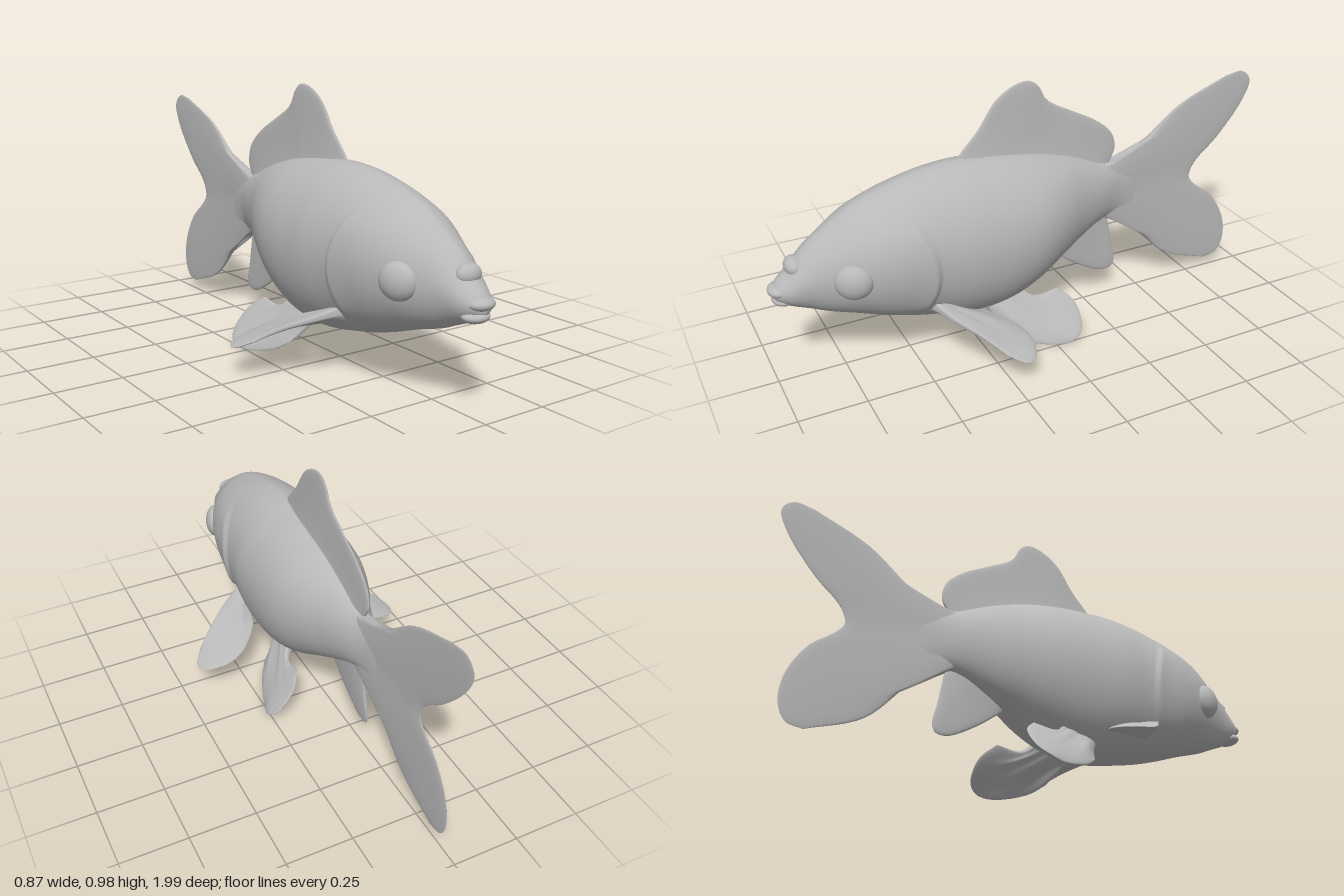
import * as THREE from 'three';

const skin = new THREE.MeshStandardMaterial({ color: 0xb8b8b8 });
skin.name = 'grey skin';
const V = (x, y, z) => new THREE.Vector3(x, y, z);

// Closed rings swept along v; point(a, v) takes an angle a and a position v in 0..1
function loft(point, around, along) {
  const pos = [], idx = [];
  const centre = V(0, 0, 0), pts = [];
  for (let j = 0; j <= along; j++)
    for (let i = 0; i < around; i++) {
      const p = point((i / around) * Math.PI * 2, j / along);
      pts.push(p);
      centre.add(p);
      pos.push(p.x, p.y, p.z);
    }
  centre.divideScalar(pts.length);
  for (let j = 0; j < along; j++)
    for (let i = 0; i < around; i++) {
      const k = (i + 1) % around;
      const a = j * around + i, b = j * around + k, c = a + around, d = b + around;
      idx.push(a, b, d, a, d, c);
    }
  // Turn the faces outward whichever way the rings run
  let volume = 0;
  for (let t = 0; t < idx.length; t += 3) {
    const [a, b, c] = [0, 1, 2].map((n) => pts[idx[t + n]].clone().sub(centre));
    volume += a.dot(b.cross(c));
  }
  if (volume < 0) idx.reverse();
  const g = new THREE.BufferGeometry();
  g.setAttribute('position', new THREE.Float32BufferAttribute(pos, 3));
  g.setIndex(idx);
  g.computeVertexNormals();
  return g;
}

// Fin spanned between rays (root to tip), with rounded edges and tapering thickness
function fin(rays, normal, root, tip) {
  const curves = rays.map((r) => new THREE.CatmullRomCurve3(r));
  const n = normal.clone().normalize();
  const rows = 28;
  const rowCache = [];
  return loft((a, t) => {
    const v = Math.sin((t * Math.PI) / 2);
    const key = Math.round(t * rows);
    rowCache[key] ??= new THREE.CatmullRomCurve3(curves.map((c) => c.getPoint(v)));
    const s = Math.sin(a);
    const thick = (tip + (root - tip) * (1 - v) ** 2) * Math.sqrt(Math.max(0, 1 - v ** 8));
    const p = rowCache[key].getPoint(Math.min(1, Math.max(0, (1 - Math.cos(a)) / 2)));
    return p.addScaledVector(n, Math.sign(s) * Math.abs(s) ** 0.45 * thick);
  }, 112, rows);
}

// Body stations: z, top, bottom, half width
const stations = [
  [0.985, 0.39, 0.36, 0], [0.97, 0.415, 0.345, 0.04], [0.93, 0.455, 0.32, 0.065],
  [0.86, 0.53, 0.29, 0.09], [0.8, 0.575, 0.265, 0.115], [0.7, 0.64, 0.235, 0.16],
  [0.6, 0.68, 0.2, 0.187], [0.5, 0.71, 0.17, 0.197], [0.4, 0.73, 0.148, 0.205],
  [0.3, 0.738, 0.13, 0.215], [0.2, 0.735, 0.125, 0.215], [0.1, 0.727, 0.145, 0.21],
  [0, 0.712, 0.19, 0.193], [-0.1, 0.688, 0.25, 0.155], [-0.2, 0.655, 0.305, 0.105],
  [-0.3, 0.612, 0.355, 0.065], [-0.38, 0.595, 0.365, 0.036], [-0.46, 0.6, 0.33, 0.02],
  [-0.56, 0.58, 0.4, 0],
];

function bodyGeometry() {
  const spline = (f) => new THREE.CatmullRomCurve3(stations.map(f), false, 'catmullrom', 0.5);
  const edge = spline(([z, top, bottom]) => V(z, top, bottom));
  const width = spline(([z, , , w]) => V(z, w, 0));
  const step = THREE.MathUtils.smoothstep;
  return loft((a, v) => {
    const e = edge.getPoint(v), w = Math.max(0, width.getPoint(v).y);
    const z = e.x, s = Math.sin(a), c = Math.cos(a);
    const y = (e.y + e.z) / 2 + (s * (e.y - e.z)) / 2;
    // Back is a little narrower than the belly
    let x = Math.sign(c) * Math.abs(c) ** (s > 0 ? 1.18 : 0.95) * w;
    // Gill cover: swells toward its curved rear rim, then steps down
    const d = z - (0.44 + 1.6 * (y - 0.4) ** 2);
    const fade = step(y, 0.2, 0.28) * (1 - step(y, 0.55, 0.64));
    x += Math.sign(c) * step(d, -0.008, 0.012) * Math.exp(-Math.max(0, d) / 0.1) * 0.014 * fade * Math.min(1, Math.abs(c) * 3);
    return V(x, y, z);
  }, 72, 220);
}

export function createModel() {
  const model = new THREE.Group();
  model.name = 'fish';
  const add = (name, geometry) => {
    const m = new THREE.Mesh(geometry, skin);
    m.name = name;
    model.add(m);
    return m;
  };
  const blob = (name, centre, radii) => {
    const m = add(name, new THREE.SphereGeometry(1, 32, 20));
    m.position.set(...centre);
    m.scale.set(...radii);
    return m;
  };
  // Rays of the middle fins lie in the x = 0 plane as (z, y)
  const flat = (rays) => rays.map((r) => r.map(([z, y]) => V(0, y, z)));

  add('body', bodyGeometry());

  // Head details
  blob('noseBump', [0, 0.465, 0.9], [0.048, 0.036, 0.034]);
  blob('upperLip', [0, 0.386, 0.955], [0.05, 0.024, 0.045]);
  blob('lowerLip', [-0.008, 0.344, 0.945], [0.05, 0.022, 0.042]);

  add('dorsalFin', fin(flat([
    [[0.3, 0.7], [0.27, 0.755]], [[0.24, 0.69], [0.195, 0.837]], [[0.18, 0.69], [0.13, 0.93]],
    [[0.13, 0.69], [0.06, 0.975]], [[0.08, 0.68], [0, 0.985]], [[0.04, 0.68], [-0.04, 0.96]],
    [[0, 0.67], [-0.075, 0.9]], [[-0.08, 0.65], [-0.18, 0.838]], [[-0.18, 0.61], [-0.285, 0.78]],
    [[-0.26, 0.57], [-0.355, 0.715]], [[-0.29, 0.56], [-0.37, 0.65]], [[-0.31, 0.55], [-0.35, 0.605]],
  ]), V(1, 0, 0), 0.034, 0.009));

  add('tailFin', fin(flat([
    [[-0.3, 0.595], [-0.445, 0.618], [-0.66, 0.775], [-0.875, 0.862]],
    [[-0.3, 0.575], [-0.57, 0.68], [-0.95, 0.868]],
    [[-0.3, 0.555], [-0.58, 0.65], [-0.992, 0.825]],
    [[-0.3, 0.535], [-0.58, 0.61], [-0.962, 0.74]],
    [[-0.3, 0.52], [-0.56, 0.55], [-0.85, 0.6]],
    [[-0.3, 0.5], [-0.53, 0.51], [-0.755, 0.515]],
    [[-0.3, 0.48], [-0.52, 0.475], [-0.73, 0.455]],
    [[-0.3, 0.46], [-0.53, 0.44], [-0.757, 0.415]],
    [[-0.3, 0.44], [-0.55, 0.39], [-0.85, 0.34]],
    [[-0.3, 0.42], [-0.57, 0.32], [-0.92, 0.22]],
    [[-0.3, 0.405], [-0.57, 0.26], [-0.93, 0.115]],
    [[-0.3, 0.39], [-0.555, 0.225], [-0.9, 0.06]],
    [[-0.3, 0.375], [-0.447, 0.31], [-0.635, 0.125], [-0.84, 0.045]],
  ]), V(1, 0, 0), 0.036, 0.008));

  add('analFin', fin(flat([
    [[-0.06, 0.32], [-0.12, 0.247]], [[-0.1, 0.34], [-0.22, 0.175]], [[-0.15, 0.36], [-0.33, 0.12]],
    [[-0.19, 0.38], [-0.375, 0.125]], [[-0.22, 0.39], [-0.388, 0.155]],
    [[-0.26, 0.41], [-0.37, 0.24]], [[-0.3, 0.42], [-0.35, 0.35]],
  ]), V(1, 0, 0), 0.03, 0.009));

  // Paired parts, mirrored across x
  for (const s of [1, -1]) {
    const side = s > 0 ? 'left' : 'right';
    const paired = (rays) => rays.map((r) => r.map(([x, y, z]) => V(x * s, y, z)));

    const eye = blob(side + 'Eye', [0.135 * s, 0.425, 0.73], [0.043, 0.066, 0.068]);
    eye.rotation.y = -0.4 * s;

    add(side + 'PectoralFin', fin(paired([
      [[0.14, 0.26, 0.46], [0.22, 0.235, 0.42], [0.32, 0.195, 0.345], [0.4, 0.145, 0.28]],
      [[0.14, 0.25, 0.45], [0.28, 0.195, 0.32], [0.437, 0.117, 0.22]],
      [[0.14, 0.245, 0.44], [0.27, 0.19, 0.3], [0.42, 0.117, 0.178]],
      [[0.14, 0.24, 0.43], [0.24, 0.195, 0.28], [0.34, 0.135, 0.15]],
      [[0.14, 0.235, 0.42], [0.21, 0.2, 0.285], [0.27, 0.155, 0.165]],
      [[0.14, 0.23, 0.41], [0.18, 0.205, 0.31], [0.21, 0.18, 0.215]],
      [[0.13, 0.23, 0.4], [0.15, 0.21, 0.34], [0.17, 0.2, 0.27]],
    ]), V(0.27 * s, 0.94, -0.2), 0.03, 0.01));

    add(side + 'PelvicFin', fin(paired([
      [[0.08, 0.18, 0.24], [0.12, 0.12, 0.2], [0.17, 0.07, 0.17]],
      [[0.08, 0.18, 0.21], [0.15, 0.115, 0.15], [0.205, 0.035, 0.115]],
      [[0.08, 0.19, 0.19], [0.16, 0.105, 0.1], [0.25, 0.008, -0.01]],
      [[0.08, 0.19, 0.17], [0.16, 0.11, 0.06], [0.262, 0.02, -0.07]],
      [[0.08, 0.2, 0.15], [0.155, 0.125, 0.04], [0.242, 0.05, -0.108]],
      [[0.08, 0.2, 0.13], [0.145, 0.14, 0.02], [0.2, 0.1, -0.118]],
      [[0.08, 0.21, 0.11], [0.135, 0.155, 0.03], [0.165, 0.14, -0.105]],
      [[0.08, 0.21, 0.09], [0.12, 0.17, 0.04], [0.13, 0.18, -0.06]],
    ]), V(0.72 * s, 0.69, 0), 0.026, 0.01));
  }
  return model;
}
